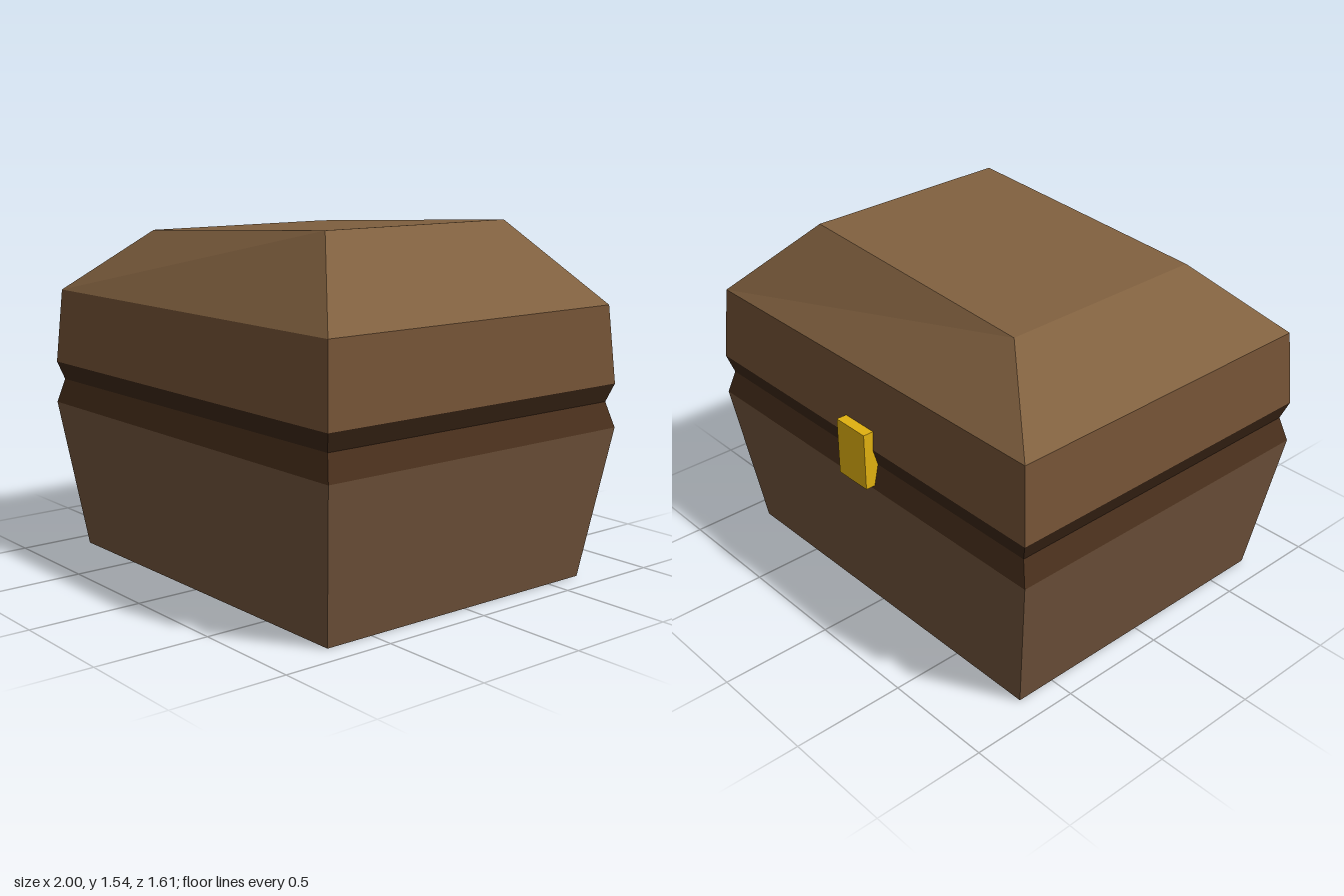
import * as THREE from 'three';

const Z = 0.02; // the chest sits slightly in front of centre, balancing the latch

// Corners of a rectangular cross-section; tilt raises the +x side and lowers the -x side
function ring({ y, x, z, tilt = 0 }) {
  return [[1, 1], [1, -1], [-1, -1], [-1, 1]].map(
    ([sx, sz]) => new THREE.Vector3(sx * x, y + sx * tilt, Z + sz * z));
}

// Joins rectangular sections, listed from bottom to top, with flat walls
function loft(sections, { top = false, bottom = false } = {}) {
  const rings = sections.map(ring);
  const points = [];
  const quad = (a, b, c, d) => points.push(a, b, c, a, c, d);
  for (let i = 0; i < rings.length - 1; i++) {
    const lo = rings[i], hi = rings[i + 1];
    for (let k = 0; k < 4; k++) {
      const n = (k + 1) % 4;
      quad(lo[k], lo[n], hi[n], hi[k]);
    }
  }
  if (top) quad(...rings[rings.length - 1]);
  if (bottom) quad(...[...rings[0]].reverse());
  const geometry = new THREE.BufferGeometry().setFromPoints(points);
  geometry.computeVertexNormals();
  return geometry;
}

export function createModel() {
  const chest = new THREE.Group();
  chest.name = 'chest';

  const add = (name, geometry, color) => {
    const material = new THREE.MeshStandardMaterial({ color });
    const mesh = new THREE.Mesh(geometry, material);
    mesh.name = name;
    chest.add(mesh);
    return mesh;
  };

  // Key cross-sections
  const foot = { y: 0, x: 0.89, z: 0.70 };
  const bodyRim = { y: 0.67, x: 1.0, z: 0.785 };
  const seam = { y: 0.78, x: 0.965, z: 0.76 };
  const lidRim = { y: 0.86, x: 0.995, z: 0.783 };
  const shoulder = { y: 1.195, x: 0.967, z: 0.76 };
  const crown = { y: 1.51, x: 0.61, z: 0.485, tilt: 0.035 };

  // Tapered body with closed base
  add('body', loft([foot, bodyRim], { bottom: true }), 0x6f523a);

  // Dark V-shaped groove between body and lid
  add('grooveLower', loft([bodyRim, seam]), 0x4a301c);
  add('grooveUpper', loft([seam, lidRim]), 0x3a2516);

  // Lid walls, then the sloped roof with its slanted top
  add('lidWalls', loft([lidRim, shoulder]), 0x735235);
  add('lidRoof', loft([shoulder, crown], { top: true }), 0x80603f);

  // Latch on the back, spanning the groove
  const latch = add('latch', new THREE.BoxGeometry(0.18, 0.26, 0.085), 0xe0b010);
  latch.position.set(0, 0.815, -0.7625);

  return chest;
}
